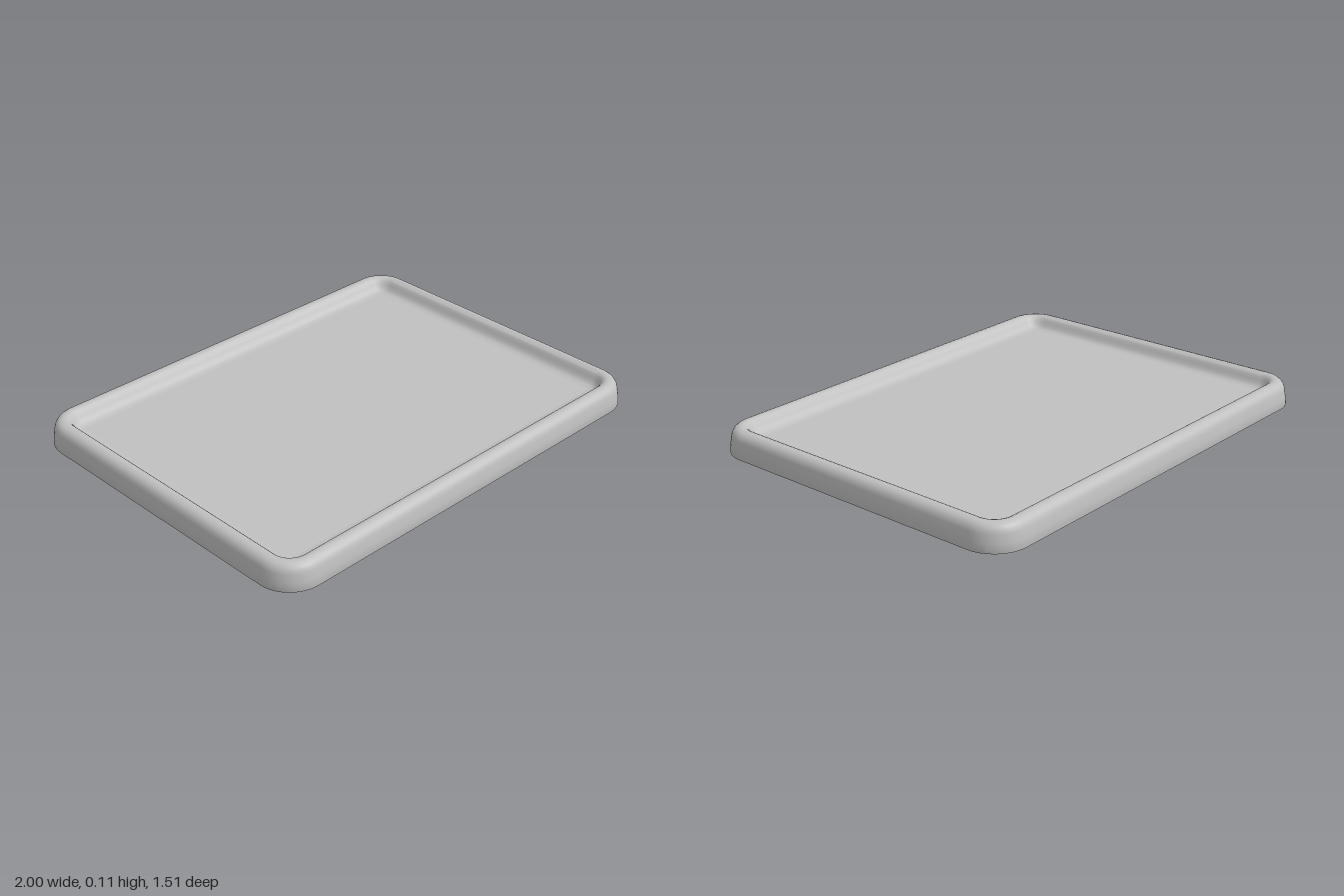
import * as THREE from 'three';
import { toCreasedNormals } from 'three/addons/utils/BufferGeometryUtils.js';

const HALF_X = 1, HALF_Z = 0.755, RADIUS = 0.15, STEPS = 12;

// Rim section as [inset from outer edge, height]: underside, outer wall, rolled top, inner cove
const PROFILE = [
  [0.14, 0.014], [0.04, 0.014], [0.03, 0.01], [0.022, 0], [0.008, 0], [0.001, 0.003],
  [0, 0.008], [0.004, 0.04], [0.01, 0.074], [0.014, 0.086], [0.022, 0.098], [0.033, 0.106],
  [0.048, 0.11], [0.06, 0.109], [0.07, 0.105], [0.079, 0.096], [0.087, 0.083],
  [0.095, 0.071], [0.104, 0.062], [0.115, 0.057], [0.136, 0.055],
];

// Sweeps the section around a rounded rectangle
function rimGeometry() {
  const positions = [], index = [];
  const corners = [[1, 1], [-1, 1], [-1, -1], [1, -1]];
  const ringSize = corners.length * (STEPS + 1);
  for (const [inset, y] of PROFILE) {
    corners.forEach(([sx, sz], quarter) => {
      for (let k = 0; k <= STEPS; k++) {
        const a = (quarter + k / STEPS) * Math.PI / 2;
        const r = RADIUS - inset;
        positions.push(
          sx * (HALF_X - RADIUS) + r * Math.cos(a), y,
          sz * (HALF_Z - RADIUS) + r * Math.sin(a));
      }
    });
  }
  for (let i = 0; i < PROFILE.length - 1; i++) {
    for (let j = 0; j < ringSize; j++) {
      const next = (j + 1) % ringSize;
      const a = i * ringSize + j, b = i * ringSize + next;
      const c = a + ringSize, d = b + ringSize;
      index.push(a, c, b, b, c, d);
    }
  }
  const geometry = new THREE.BufferGeometry();
  geometry.setAttribute('position', new THREE.Float32BufferAttribute(positions, 3));
  geometry.setIndex(index);
  return toCreasedNormals(geometry, 0.9);
}

export function createModel() {
  const group = new THREE.Group();
  group.name = 'tray';
  const grey = new THREE.MeshStandardMaterial({ color: 0xc0c0c0 });
  grey.name = 'light grey';

  // Rolled border with a shallow foot underneath
  const rim = new THREE.Mesh(rimGeometry(), grey);
  rim.name = 'rim';

  // Flat serving surface filling the border
  const bottom = 0.014, top = 0.055;
  const floor = new THREE.Mesh(
    new THREE.BoxGeometry(2 * (HALF_X - 0.135), top - bottom, 2 * (HALF_Z - 0.135)), grey);
  floor.position.y = (top + bottom) / 2;
  floor.name = 'floor';

  group.add(rim, floor);
  return group;
}
